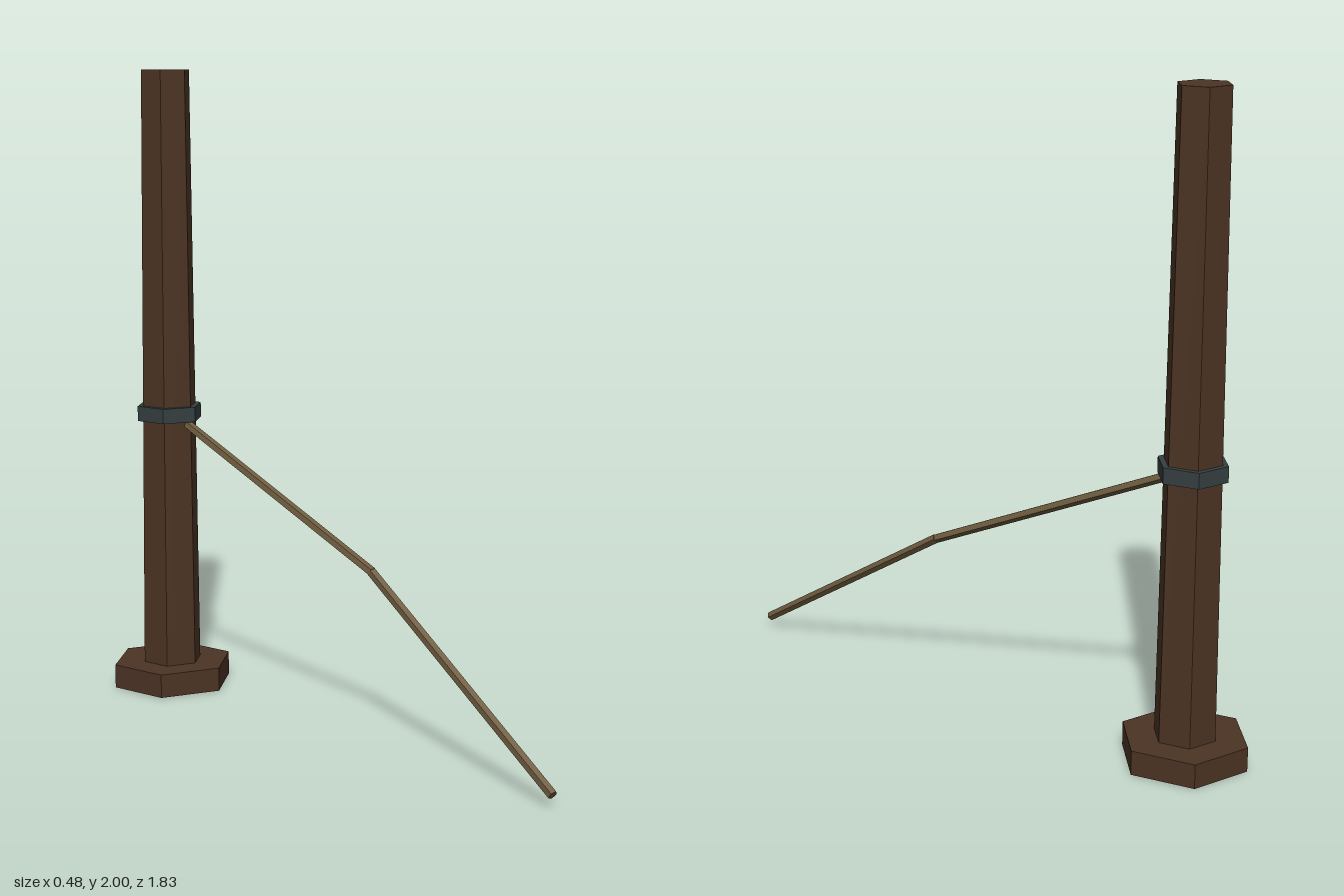
import * as THREE from 'three';

const material = (name, color) => {
  const m = new THREE.MeshStandardMaterial({ color, flatShading: true });
  m.name = name;
  return m;
};

export function createModel() {
  const wood = material('dark wood', 0x4c3424);
  const iron = material('iron', 0x353f41);
  const rope = material('rope', 0x6e5c3f);

  const model = new THREE.Group();
  model.name = 'mooringPost';

  // Hexagonal post, foot and band share one axis
  const hexPart = (name, rTop, rBottom, y0, y1, mat) => {
    const mesh = new THREE.Mesh(new THREE.CylinderGeometry(rTop, rBottom, y1 - y0, 6), mat);
    mesh.name = name;
    mesh.position.set(0.068, (y0 + y1) / 2, -0.717);
    model.add(mesh);
  };
  hexPart('foot', 0.198, 0.198, 0, 0.076, wood);
  hexPart('post', 0.08, 0.097, 0.07, 2, wood);
  hexPart('band', 0.108, 0.108, 0.88, 0.928, iron);

  // Sagging rope running from the band to the ground
  const points = [[0.062, 0.87, -0.635], [-0.03, 0.515, 0.16], [-0.23, 0.037, 0.91]]
    .map((p) => new THREE.Vector3(...p));
  for (let i = 0; i < points.length - 1; i++) {
    const dir = points[i + 1].clone().sub(points[i]);
    const mesh = new THREE.Mesh(new THREE.CylinderGeometry(0.015, 0.015, dir.length(), 5), rope);
    mesh.name = 'ropeSegment';
    mesh.position.copy(points[i]).addScaledVector(dir, 0.5);
    mesh.quaternion.setFromUnitVectors(new THREE.Vector3(0, 1, 0), dir.normalize());
    model.add(mesh);
  }

  return model;
}
